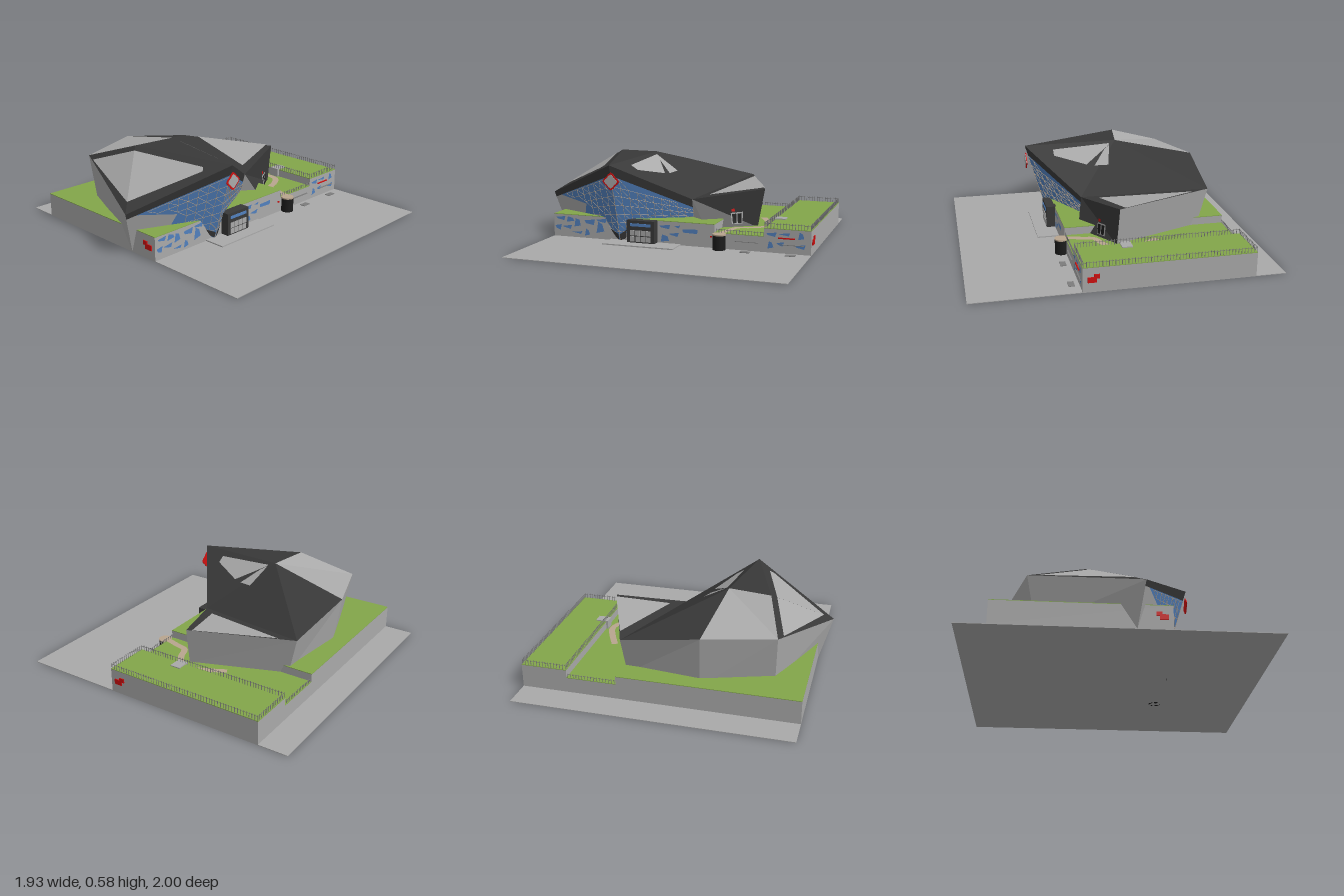
import * as THREE from 'three';
import { mergeGeometries } from 'three/addons/utils/BufferGeometryUtils.js';

export function createModel() {
  const model = new THREE.Group();
  const mat = (name, color) => {
    const m = new THREE.MeshStandardMaterial({ color, side: THREE.DoubleSide });
    m.name = name;
    return m;
  };
  const grey = mat('concrete', 0xa9a9a9), dark = mat('dark roofing', 0x383838), green = mat('lawn', 0x82a64a);
  const blue = mat('glass', 0x5180bd), red = mat('red paint', 0xd01010), tan = mat('sand path', 0xb8a48e);
  const steel = mat('railing steel', 0x7c7c7c), black = mat('black metal', 0x1c1c1c);
  const V = (x, y, z) => new THREE.Vector3(x, y, z);
  const center = V(-0.2, 0.25, -0.1);

  const add = (name, geos, material) => {
    const mesh = new THREE.Mesh(mergeGeometries([geos].flat()), material);
    mesh.name = name;
    model.add(mesh);
    return mesh;
  };
  // box given by its min and max corners
  const box = (x0, x1, y0, y1, z0, z1) =>
    new THREE.BoxGeometry(x1 - x0, y1 - y0, z1 - z0).translate((x0 + x1) / 2, (y0 + y1) / 2, (z0 + z1) / 2);
  // flat fan facing away from the building centre
  const poly = (pts) => {
    const n = V(0, 0, 0).crossVectors(pts[1].clone().sub(pts[0]), pts[2].clone().sub(pts[0]));
    if (n.dot(pts[0].clone().sub(center)) < 0) pts = [pts[0], ...pts.slice(1).reverse()];
    const tris = [];
    for (let i = 1; i < pts.length - 1; i++) tris.push(pts[0], pts[i], pts[i + 1]);
    const g = new THREE.BufferGeometry().setFromPoints(tris);
    g.computeVertexNormals();
    return g;
  };
  // thin bar between two points
  const bar = (a, b, r) => {
    const d = b.clone().sub(a), g = new THREE.CylinderGeometry(r, r, d.length(), 4, 1, true);
    g.applyQuaternion(new THREE.Quaternion().setFromUnitVectors(V(0, 1, 0), d.normalize()));
    g.translate((a.x + b.x) / 2, (a.y + b.y) / 2, (a.z + b.z) / 2);
    return g;
  };
  // point on a four-cornered wall, u along the top edge, v downwards, pushed outwards by off
  const wall = (a, b, b2, a2) => {
    const n = V(0, 0, 0).crossVectors(b.clone().sub(a), a2.clone().sub(a)).normalize();
    if (n.dot(a.clone().sub(center)) < 0) n.negate();
    return (u, v, off = 0) => a.clone().lerp(b, u).lerp(a2.clone().lerp(b2, u), v).addScaledVector(n, off);
  };
  const onWall = (w, uv, off = 0) => poly(uv.map(([u, v]) => w(u, v, off)));

  // Site and terraces
  add('ground', box(-0.88, 0.955, 0, 0.004, -1, 1), grey);
  const terraces = [[-0.88, 0.31, 0.165], [0.31, 0.645, 0.11], [0.645, 0.955, 0.165]];
  terraces.forEach(([x0, x1, h]) => {
    add('terraceWalls', box(x0, x1, 0, h - 0.004, -0.8, 0.31), grey);
    add('lawn', box(x0, x1, h - 0.004, h, -0.8, 0.31), green);
  });
  add('entranceStep', box(-0.44, 0.07, 0.004, 0.012, 0.31, 0.46), grey);

  // Crystal corners: roof edge, ridge and base
  const A = V(-0.37, 0.548, 0.48), B = V(-0.965, 0.29, 0.14), C = V(-0.685, 0.45, -0.585);
  const D = V(-0.225, 0.462, -0.73), E = V(0.31, 0.368, -0.685), F = V(0.57, 0.367, -0.01), G = V(0.1, 0.295, 0.155);
  const P = V(-0.575, 0.575, -0.215), Q = V(-0.285, 0.577, -0.17);
  const Bb = V(-0.88, 0, 0.09), Cb = V(-0.67, 0.1, -0.52), Db = V(-0.21, 0.1, -0.675), Eb = V(0.29, 0.1, -0.62);
  const Fb = V(0.525, 0.1, 0), Gb = V(0.22, 0.1, 0.2), Gi = V(0.1, 0.1, 0.1), K = V(-0.365, 0, 0.315);

  // Folded roof
  const roof = [[B, C, P], [B, P, A], [P, Q, A], [Q, A, G], [Q, G, E], [Q, E, D], [G, E, F]];
  add('darkRoof', roof.map(poly), dark);
  add('paleRoofFace', [poly([C, D, Q]), poly([C, Q, P])], grey);
  // pale panels, placed in plan and lifted on to a roof face
  const panel = ([a, b, c], plan) => {
    const plane = new THREE.Plane().setFromCoplanarPoints(a, b, c), n = plane.normal;
    return poly(plan.map(([x, z]) => V(x, 0.004 - (plane.constant + n.x * x + n.z * z) / n.y, z)));
  };
  add('roofPanels', [
    panel(roof[0], [[-0.71, -0.51], [-0.9, 0.08], [-0.61, -0.185]]),
    panel(roof[1], [[-0.9, 0.08], [-0.5, 0.345], [-0.475, 0.325], [-0.61, -0.185]]),
    panel(roof[3], [[-0.265, -0.12], [-0.255, -0.122], [-0.13, 0.07], [-0.245, 0.285], [-0.295, 0.285]]),
    panel(roof[4], [[-0.255, -0.122], [-0.09, -0.08], [-0.13, 0.07]]),
    panel(roof[6], [[0.35, -0.57], [0.56, -0.05], [0.19, 0.05]]),
  ], grey);

  // Leaning walls
  add('greyWalls', [[B, C, Cb, Bb], [C, D, Db, Cb], [D, E, Eb, Db], [E, F, Fb, Eb], [G, Gb, Gi]].map(poly), grey);
  const left = wall(B, A, K, Bb), right = wall(A, G, Gi, K), annex = wall(G, F, Fb, Gb);
  const band = [[0, 0], [1, 0], [1, 0.13], [0, 0.13]], rightBand = [[0, 0], [1, 0], [1, 0.3], [0, 0.13]];
  add('fascia', [onWall(left, band), onWall(right, rightBand)], dark);
  add('leftWallCladding', onWall(left, [[0, 0.13], [0.1, 0.13], [0.5, 0.43], [0.3, 1], [0, 1]]), grey);
  add('glassFacade', [onWall(left, [[0.5, 0.43], [0.1, 0.13], [1, 0.13], [1, 1], [0.3, 1]]),
    onWall(right, [[0, 0.13], [1, 0.3], [1, 1], [0, 1]])], blue);
  add('annexWall', onWall(annex, [[0, 0], [1, 0], [1, 1], [0, 1]]), dark);
  add('fallenShards', [onWall(left, [[0.86, 0.83], [0.99, 0.9], [0.99, 0.98], [0.93, 0.94]], 0.005),
    onWall(right, [[0, 0.9], [0.1, 0.85], [0.08, 0.97], [0, 0.98]], 0.005)], dark);

  // Triangular lattice over the glass
  const lattice = [];
  const N = 10, M = 7;
  [[left, (u, v) => u > 0.52 || v < 0.06 + 0.72 * u], [right, (u, v) => v > 0.13 + 0.17 * u]].forEach(([w, inside]) => {
    const seg = (u0, v0, u1, v1) => {
      if (u1 <= 1.001 && v1 <= 1 && inside(u0, v0) && inside(u1, v1)) lattice.push(bar(w(u0, v0, 0.002), w(u1, v1, 0.002), 0.0016));
    };
    for (let i = 0; i <= N; i++) for (let j = 0; j < M; j++) {
      const u = i / N, v = 0.15 + j * 0.12;
      seg(u, v, u, v + 0.12);
      seg(u, v, u + 1 / N, v);
      if ((i + j) % 3) seg(u, v, u + 1 / N, v + 0.12);
    }
  });
  add('facadeLattice', lattice, tan);

  // Annex door
  const rect = (u0, u1, v0, v1) => [[u0, v0], [u1, v0], [u1, v1], [u0, v1]];
  add('annexDoorFrame', onWall(annex, rect(0.5, 0.7, 0.55, 0.88), 0.004), grey);
  add('annexDoorGlass', [onWall(annex, rect(0.52, 0.59, 0.59, 0.86), 0.007), onWall(annex, rect(0.61, 0.68, 0.59, 0.86), 0.007)], black);
  add('annexSign', onWall(annex, rect(0.52, 0.57, 0.44, 0.52), 0.006), red);

  // Entrance porch
  add('porch', box(-0.295, -0.095, 0, 0.165, 0.3, 0.37), dark);
  const doors = [];
  for (let i = 0; i < 4; i++) for (let j = 0; j < 2; j++) {
    const x = -0.27 + i * 0.039, y = 0.02 + j * 0.042;
    doors.push(box(x, x + 0.033, y, y + 0.036, 0.37, 0.374));
  }
  add('porchDoors', doors, grey);
  add('porchWindow', box(-0.27, -0.12, 0.125, 0.145, 0.37, 0.374), blue);

  // Slanted windows in the front walls: x, y, width, height, skew
  const windows = [[-0.85, 0.12, 0.05, 0.03, 0.01], [-0.78, 0.12, 0.06, 0.02, -0.01], [-0.86, 0.05, 0.03, 0.04, 0.01],
    [-0.8, 0.06, 0.05, 0.03, 0.012], [-0.72, 0.09, 0.05, 0.04, -0.01], [-0.73, 0.03, 0.06, 0.02, 0.01],
    [-0.63, 0.1, 0.06, 0.04, 0.01], [-0.64, 0.03, 0.04, 0.03, -0.01], [-0.55, 0.06, 0.06, 0.05, -0.015],
    [-0.54, 0.12, 0.06, 0.03, 0.01], [-0.07, 0.11, 0.06, 0.03, 0.01], [-0.07, 0.03, 0.06, 0.03, -0.01],
    [0.0, 0.06, 0.05, 0.03, 0.012], [0.09, 0.09, 0.1, 0.03, 0.004], [0.03, 0.12, 0.03, 0.02, 0.01],
    [0.67, 0.11, 0.05, 0.03, 0.01], [0.67, 0.04, 0.04, 0.03, -0.01], [0.74, 0.05, 0.03, 0.03, 0.01],
    [0.75, 0.12, 0.06, 0.02, 0.008], [0.87, 0.11, 0.04, 0.03, -0.01], [0.86, 0.04, 0.05, 0.03, 0.01]];
  add('wallWindows', windows.map(([x, y, w, h, s]) =>
    poly([V(x, y + s, 0.313), V(x + w, y, 0.313), V(x + w + s, y + h, 0.313), V(x - s, y + h - s, 0.313)])), blue);

  // Railings round the two right-hand terraces
  const rails = [];
  const railing = (x0, z0, x1, z1, y, h) => {
    const n = Math.round(Math.hypot(x1 - x0, z1 - z0) / 0.02);
    for (let i = 0; i <= n; i++) {
      const x = x0 + (x1 - x0) * i / n, z = z0 + (z1 - z0) * i / n;
      rails.push(box(x - 0.0015, x + 0.0015, y, y + h, z - 0.0015, z + 0.0015));
    }
    rails.push(bar(V(x0, y + h * 0.8, z0), V(x1, y + h * 0.8, z1), 0.0015));
  };
  railing(0.95, -0.795, 0.95, 0.305, 0.165, 0.036);
  railing(0.65, -0.795, 0.65, 0.305, 0.165, 0.036);
  [-0.795, 0.305].forEach((z) => {
    railing(0.65, z, 0.95, z, 0.165, 0.036);
    railing(0.32, z, 0.64, z, 0.11, 0.026);
  });
  add('railings', rails, steel);

  // Winding path, as a ribbon along a curve
  const curve = new THREE.CatmullRomCurve3([V(0.36, 0, 0.31), V(0.39, 0, 0.2), V(0.41, 0, 0.13), V(0.5, 0, 0.09),
    V(0.58, 0, 0.03), V(0.6, 0, -0.05), V(0.56, 0, -0.16), V(0.5, 0, -0.28)]);
  const edges = [1, -1].map((s) => curve.getPoints(30).map((p, i) => {
    const t = curve.getTangent(i / 30);
    return V(p.x + s * t.z * 0.022, 0.113, p.z - s * t.x * 0.022);
  }));
  const path = [];
  for (let i = 0; i < 30; i++) {
    const g = new THREE.BufferGeometry().setFromPoints([edges[0][i], edges[0][i + 1], edges[1][i],
      edges[1][i], edges[0][i + 1], edges[1][i + 1]].reverse());
    g.computeVertexNormals();
    path.push(g);
  }
  add('path', path, tan);
  add('stairTower', new THREE.CylinderGeometry(0.043, 0.043, 0.1, 20).translate(0.352, 0.05, 0.34), black);
  add('stairTowerTop', new THREE.CylinderGeometry(0.045, 0.045, 0.009, 20).translate(0.352, 0.106, 0.34), tan);
  add('terraceBridge', box(0.63, 0.72, 0.1, 0.172, -0.06, 0.01), grey);

  // Small doors and slabs along the right front
  add('frontSlabs', [0.5, 0.8].flatMap((x) => [box(x, x + 0.065, 0.004, 0.008, 0.34, 0.38), box(x - 0.05, x + 0.11, 0.06, 0.064, 0.31, 0.32)]), steel);
  add('frontSigns', [box(0.74, 0.85, 0.1, 0.108, 0.31, 0.317), box(0.28, 0.295, 0.075, 0.085, 0.31, 0.316)], red);

  // Red signs on both side walls
  [-0.883, 0.958].forEach((x) => add('sideSign',
    [box(x - 0.004, x + 0.004, 0.065, 0.1, 0.225, 0.28), box(x - 0.004, x + 0.004, 0.09, 0.118, 0.205, 0.24)], red));

  // Lobed emblem plate under the peak
  const lobes = (r, z) => {
    const pts = [];
    for (let i = 0; i < 16; i++) {
      const a = i * Math.PI / 8, k = r * [1, 0.84, 0.72, 0.84][i % 4];
      pts.push(new THREE.Vector2(Math.cos(a) * k, Math.sin(a) * k));
    }
    return new THREE.ExtrudeGeometry(new THREE.Shape(pts), { depth: 0.006, bevelEnabled: false }).translate(-0.36, 0.44, z);
  };
  add('signRim', lobes(0.06, 0.472), red);
  add('signFace', lobes(0.047, 0.475), grey);

  return model;
}
